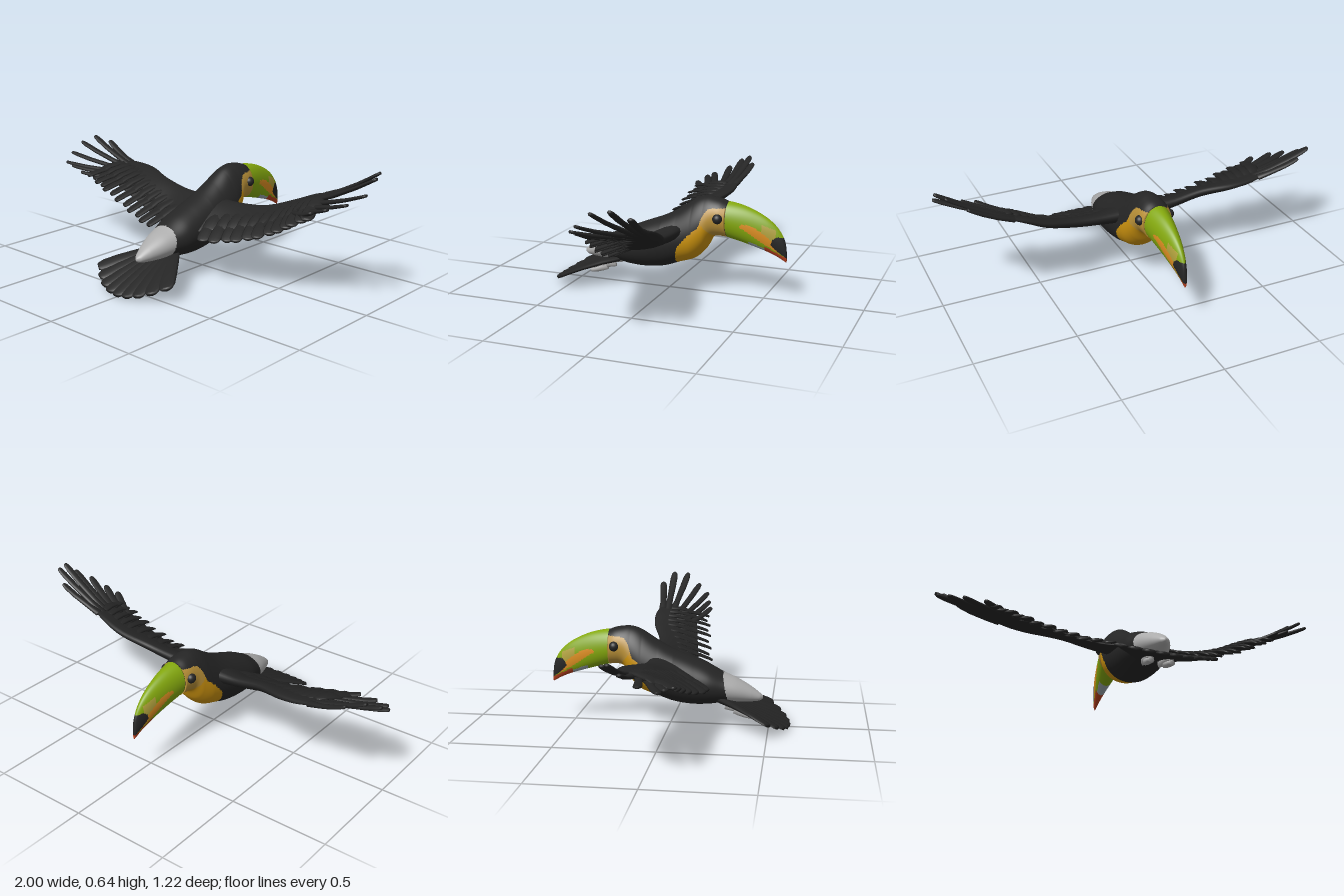
import * as THREE from 'three';

const V = (x, y, z) => new THREE.Vector3(x, y, z);
const mat = (name, color) => new THREE.MeshStandardMaterial({ name, color, side: THREE.DoubleSide });

// Skin a list of closed rings; pick(centre) chooses the material index of each quad
function loft(name, rings, mats, pick = () => 0) {
  const n = rings[0].length, pos = [], faces = mats.map(() => []);
  rings.forEach(r => r.forEach(p => pos.push(p.x, p.y, p.z)));
  for (let i = 0; i < rings.length - 1; i++) for (let j = 0; j < n; j++) {
    const k = (j + 1) % n, a = i * n + j, b = i * n + k, c = a + n, d = b + n;
    const mid = rings[i][j].clone().add(rings[i + 1][k]).multiplyScalar(0.5);
    faces[pick(mid)].push(a, b, d, a, d, c);
  }
  // End caps
  [[0, 1], [rings.length - 1, 0]].forEach(([i, first]) => {
    const c = rings[i].reduce((s, p) => s.add(p), V(0, 0, 0)).divideScalar(n);
    const m = pick(c), ci = pos.length / 3;
    pos.push(c.x, c.y, c.z);
    for (let j = 0; j < n; j++) {
      const a = i * n + j, b = i * n + (j + 1) % n;
      if (first) faces[m].push(ci, b, a); else faces[m].push(ci, a, b);
    }
  });
  const g = new THREE.BufferGeometry();
  g.setAttribute('position', new THREE.Float32BufferAttribute(pos, 3));
  g.setIndex(faces.flat());
  let start = 0;
  faces.forEach((f, m) => { if (f.length) g.addGroup(start, f.length, m); start += f.length; });
  g.computeVertexNormals();
  const mesh = new THREE.Mesh(g, mats.length > 1 ? mats : mats[0]);
  mesh.name = name;
  return mesh;
}

// Rings along z from stations [z, bottom, top, halfWidth]; egg(z) narrows the upper half
function bodyRings(stations, steps, sides, egg = () => 0) {
  const a = new THREE.CatmullRomCurve3(stations.map(s => V(s[0], s[1], s[2])), false, 'centripetal');
  const b = new THREE.CatmullRomCurve3(stations.map(s => V(s[3], 0, 0)), false, 'catmullrom', 0.5);
  return Array.from({ length: steps + 1 }, (_, i) => {
    const u = a.getUtoTmapping(i / steps);
    const p = a.getPoint(u), w = Math.max(0.002, b.getPoint(u).x);
    return Array.from({ length: sides }, (_, j) => {
      const t = j / sides * Math.PI * 2;
      return V(w * Math.cos(t) * (1 - egg(p.x) * Math.sin(t)), (p.y + p.z) / 2 + (p.z - p.y) / 2 * Math.sin(t), p.x);
    });
  });
}

// Flat blunt blade from a to b, bowed along its normal
function feather(name, a, b, width, thick, m, { bow = 0.01, up = V(0, 1, 0), root = 0.6 } = {}) {
  const d = b.clone().sub(a).normalize();
  const s = up.clone().cross(d).normalize(), n = d.clone().cross(s);
  const profile = [[0, root], [0.3, 0.85], [0.65, 1], [0.88, 1], [0.97, 0.8], [1, 0.5]];
  const rings = profile.map(([t, w]) => {
    const c = a.clone().lerp(b, t).addScaledVector(n, bow * 4 * t * (1 - t));
    return Array.from({ length: 10 }, (_, j) => {
      const q = j / 10 * Math.PI * 2;
      return c.clone().addScaledVector(s, Math.cos(q) * width * w)
        .addScaledVector(n, Math.sin(q) * thick * (1.1 - 0.5 * t));
    });
  });
  return loft(name, rings, [m]);
}

// Height of a polyline of [z, y] points, with z descending
function lineAt(line, z) {
  for (let i = 0; i < line.length - 1; i++) {
    const [z0, y0] = line[i], [z1, y1] = line[i + 1];
    if (z <= z0 && z >= z1) return y0 + (y1 - y0) * (z - z0) / (z1 - z0);
  }
  return z > line[0][0] ? -1 : line[line.length - 1][1];
}

// Wing: heights = [leading, trailing] per station, tips = primary feather ends
function makeWing(name, side, heights, tips, m) {
  const wing = new THREE.Group();
  wing.name = name;
  const xs = [0.03, 0.2, 0.35, 0.5, 0.6, 0.7];
  const zl = [-0.1, -0.1, -0.11, -0.16, -0.165, -0.14];
  const zt = [0.19, 0.13, 0.1, 0.08, 0.065, 0.045];
  const th = [0.07, 0.045, 0.038, 0.032, 0.024, 0.012];
  const lead = new THREE.CatmullRomCurve3(xs.map((x, i) => V(x * side, heights[i][0], zl[i])));
  const trail = new THREE.CatmullRomCurve3(xs.map((x, i) => V(x * side, heights[i][1], zt[i])));
  const thick = new THREE.CatmullRomCurve3(th.map(t => V(t, 0, 0)));
  const at = (u, v) => lead.getPoint(u).lerp(trail.getPoint(u), v);

  // Arm
  const rings = Array.from({ length: 25 }, (_, i) => {
    const u = i / 24, t = thick.getPoint(u).x;
    return Array.from({ length: 20 }, (_, j) => {
      const q = j / 20 * Math.PI * 2, k = Math.cos(q) * side;
      const p = at(u, 0.5 - 0.5 * k);
      p.y += t * (0.62 + 0.38 * k) * Math.sin(q);
      return p;
    });
  });
  wing.add(loft('wingArm', rings, [m]));

  // Secondary feathers and the shorter coverts above them
  for (let i = 0; i < 12; i++) {
    const u = 0.1 + 0.075 * i;
    const tip = at(u, 1).add(V(0.07 * side, -0.02 + 0.001 * i, 0.05 + 0.014 * (i % 2)));
    wing.add(feather('secondaryFeather', at(u, 0.45), tip, 0.033, 0.011, m));
    const mid = at(u, 0.95).add(V(0.05 * side, 0.006, 0));
    wing.add(feather('covertFeather', at(u, 0.3).add(V(0, 0.008, 0)), mid, 0.036, 0.011, m, { bow: 0.012 }));
  }
  // Primary feathers
  tips.forEach(([x, y, z], i) => {
    const f = i / (tips.length - 1);
    const base = at(0.92 - 0.1 * f, 0.08 + 0.8 * f);
    wing.add(feather('primaryFeather', base, V(x * side, y, z), 0.02, 0.012, m, { bow: -0.008, root: 1.2 }));
  });
  return wing;
}

export function createModel() {
  const bird = new THREE.Group();
  bird.name = 'bird';
  const black = mat('blackPlumage', 0x252525), grey = mat('greyRump', 0xacacac);
  const amber = mat('amberBib', 0xcb920f), tan = mat('tanFace', 0xb99038);
  const green = mat('greenBill', 0x84a80e), orange = mat('orangeStreak', 0xde8f22);
  const olive = mat('oliveWash', 0xb0a03c), red = mat('redBillEdge', 0xb8401e);
  const blue = mat('blueGreyPatch', 0x9aa6ac);

  // Body, neck and head with bib, face and rump colours
  const bibEdge = [[-0.055, 0.14], [-0.065, 0.2], [-0.08, 0.25], [-0.13, 0.31], [-0.185, 0.36],
    [-0.205, 0.42], [-0.225, 0.447], [-0.25, 0.455], [-0.32, 0.457]];
  const eggLine = [[0.02, 0], [-0.06, 0.12], [-0.14, 0.2], [-0.2, 0.15], [-0.26, 0.03], [-0.32, 0]];
  const body = bodyRings([
    [-0.312, 0.302, 0.48, 0.076], [-0.28, 0.305, 0.492, 0.083], [-0.24, 0.298, 0.499, 0.088],
    [-0.2, 0.232, 0.5, 0.1], [-0.15, 0.182, 0.485, 0.111], [-0.06, 0.148, 0.428, 0.118],
    [0.02, 0.12, 0.385, 0.121], [0.12, 0.108, 0.345, 0.12], [0.2, 0.112, 0.312, 0.114],
    [0.27, 0.122, 0.275, 0.095], [0.34, 0.125, 0.245, 0.075], [0.41, 0.128, 0.205, 0.046],
    [0.455, 0.135, 0.172, 0.022], [0.47, 0.145, 0.158, 0.004]], 220, 112,
    z => Math.max(0, lineAt(eggLine, z)));
  bird.add(loft('body', body, [black, grey, amber, tan], p => {
    if (p.z > 0.3 - (p.y - 0.13) * 0.22) return 1;
    if (p.y > lineAt(bibEdge, p.z)) return 0;
    return p.z < -0.195 && p.y > 0.37 + (p.z + 0.2) * 1.2 ? 3 : 2;
  }));

  // Bill, with the streak between two curved edges
  const streakTop = [[-0.38, 0.372], [-0.395, 0.383], [-0.42, 0.383], [-0.46, 0.368], [-0.5, 0.342], [-0.54, 0.308], [-0.575, 0.25]];
  const streakLow = [[-0.38, 0.37], [-0.42, 0.348], [-0.46, 0.318], [-0.5, 0.291], [-0.54, 0.268], [-0.575, 0.245]];
  const tipLow = [[-0.535, 0.29], [-0.56, 0.262], [-0.612, 0.222]];
  const tipTop = [[-0.535, 0.29], [-0.545, 0.315], [-0.565, 0.328], [-0.612, 0.32]];
  const bill = bodyRings([
    [-0.612, 0.2, 0.222, 0.003], [-0.61, 0.2, 0.26, 0.008], [-0.6, 0.205, 0.31, 0.013],
    [-0.57, 0.222, 0.362, 0.022], [-0.52, 0.243, 0.408, 0.034], [-0.45, 0.265, 0.446, 0.047],
    [-0.38, 0.285, 0.47, 0.059], [-0.31, 0.303, 0.481, 0.07], [-0.304, 0.306, 0.478, 0.069]], 170, 96);
  bird.add(loft('bill', bill, [green, black, orange, olive, red, blue], ({ y, z }) => {
    if (z > -0.313) return 1;
    if (z < -0.535 && y < lineAt(tipTop, z) && y > lineAt(tipLow, z)) return 1;
    if (z < -0.505 && y < 0.27 + (z + 0.52) * 0.5) return 4;
    if (z < -0.38 && y > lineAt(streakLow, z) && y < lineAt(streakTop, z)) return 2;
    if (z < -0.49 && z > -0.56 && y > 0.3 && y < 0.387 + (z + 0.49) * 0.4) return 3;
    if (z < -0.425 && z > -0.505 && y < 0.297 + (z + 0.425) * 0.4) return 5;
    return 0;
  }));

  // Eyes and legs
  [-1, 1].forEach(side => {
    const eye = new THREE.Mesh(new THREE.SphereGeometry(0.025, 24, 16), black);
    eye.position.set(0.077 * side, 0.406, -0.278);
    eye.name = 'eye';
    bird.add(eye);
    bird.add(feather('leg', V(0.042 * side, 0.118, 0.285), V(0.05 * side, 0.082, 0.42), 0.018, 0.024, grey, { bow: 0 }));
    bird.add(feather('foot', V(0.048 * side, 0.095, 0.33), V(0.052 * side, 0.062, 0.42), 0.019, 0.02, grey, { bow: -0.004 }));
  });

  // Tail fan
  const tail = new THREE.Group();
  tail.name = 'tail';
  for (let i = -4; i <= 4; i++) {
    const f = i / 4, e = Math.abs(f);
    const tip = V(0.232 * f, 0.01 + 0.06 * e * e, 0.607 - 0.1 * e * e);
    tail.add(feather('tailFeather', V(0.055 * f, 0.146 - 0.004 * e, 0.26), tip, 0.043, 0.015, black,
      { up: V(-0.1 * f, 1, 0.4), bow: 0.008 }));
  }
  bird.add(tail);

  // Wings, the left one raised higher
  bird.add(makeWing('leftWing', 1,
    [[0.33, 0.24], [0.34, 0.25], [0.36, 0.285], [0.415, 0.345], [0.46, 0.4], [0.49, 0.45]],
    [[0.88, 0.59, -0.165], [0.965, 0.638, -0.11], [0.995, 0.63, -0.035], [0.99, 0.568, 0.035],
      [0.93, 0.525, 0.09], [0.84, 0.49, 0.11], [0.77, 0.465, 0.125]], black));
  bird.add(makeWing('rightWing', -1,
    [[0.33, 0.24], [0.345, 0.25], [0.375, 0.285], [0.4, 0.33], [0.41, 0.362], [0.42, 0.39]],
    [[0.87, 0.495, -0.175], [0.95, 0.518, -0.135], [0.995, 0.488, -0.075], [0.995, 0.44, 0],
      [0.95, 0.405, 0.08], [0.88, 0.4, 0.1], [0.78, 0.385, 0.125]], black));
  return bird;
}
